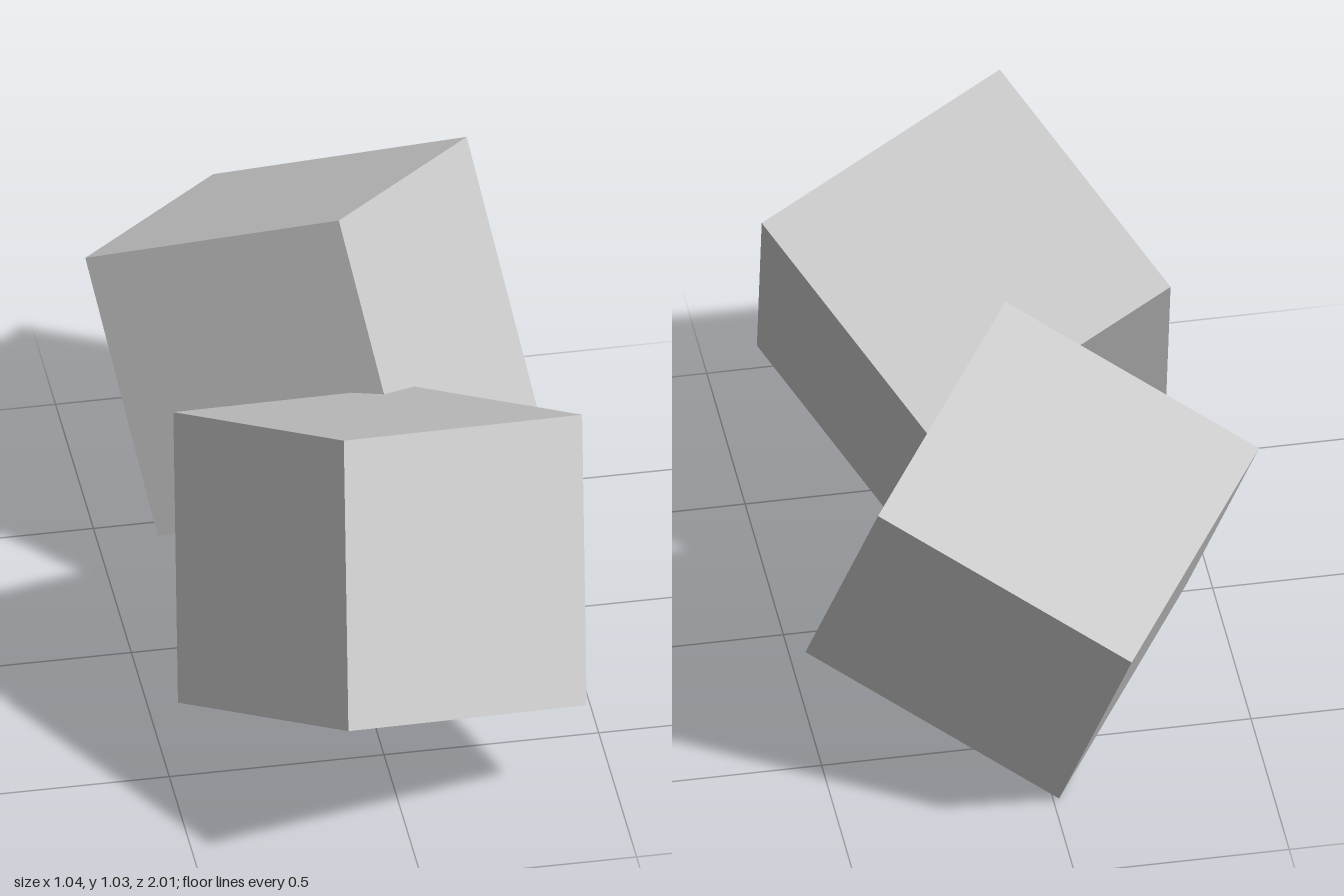
import * as THREE from 'three';

const EDGE = 0.672;

// A tilted cube, oriented by two of its edge directions.
function tiltedCube(name, center, edgeA, edgeB) {
  const x = new THREE.Vector3(...edgeA).normalize();
  const y = new THREE.Vector3().crossVectors(x, new THREE.Vector3(...edgeB)).normalize();
  const z = new THREE.Vector3().crossVectors(x, y);
  const mesh = new THREE.Mesh(
    new THREE.BoxGeometry(EDGE, EDGE, EDGE),
    new THREE.MeshStandardMaterial({ color: 0xcccccc, flatShading: true })
  );
  mesh.name = name;
  mesh.quaternion.setFromRotationMatrix(new THREE.Matrix4().makeBasis(x, y, z));
  mesh.position.set(...center);
  return mesh;
}

export function createModel() {
  const group = new THREE.Group();
  group.name = 'tumbledCubes';
  group.add(
    tiltedCube('frontCube', [0, 0.515, 0.448], [0.6, -0.175, -0.25], [-0.295, -0.26, -0.54]),
    // Same tilt, spun about the vertical and overlapping at the corner
    tiltedCube('backCube', [0, 0.515, -0.447], [0.39, -0.175, -0.52], [-0.53, -0.26, -0.32])
  );
  return group;
}
